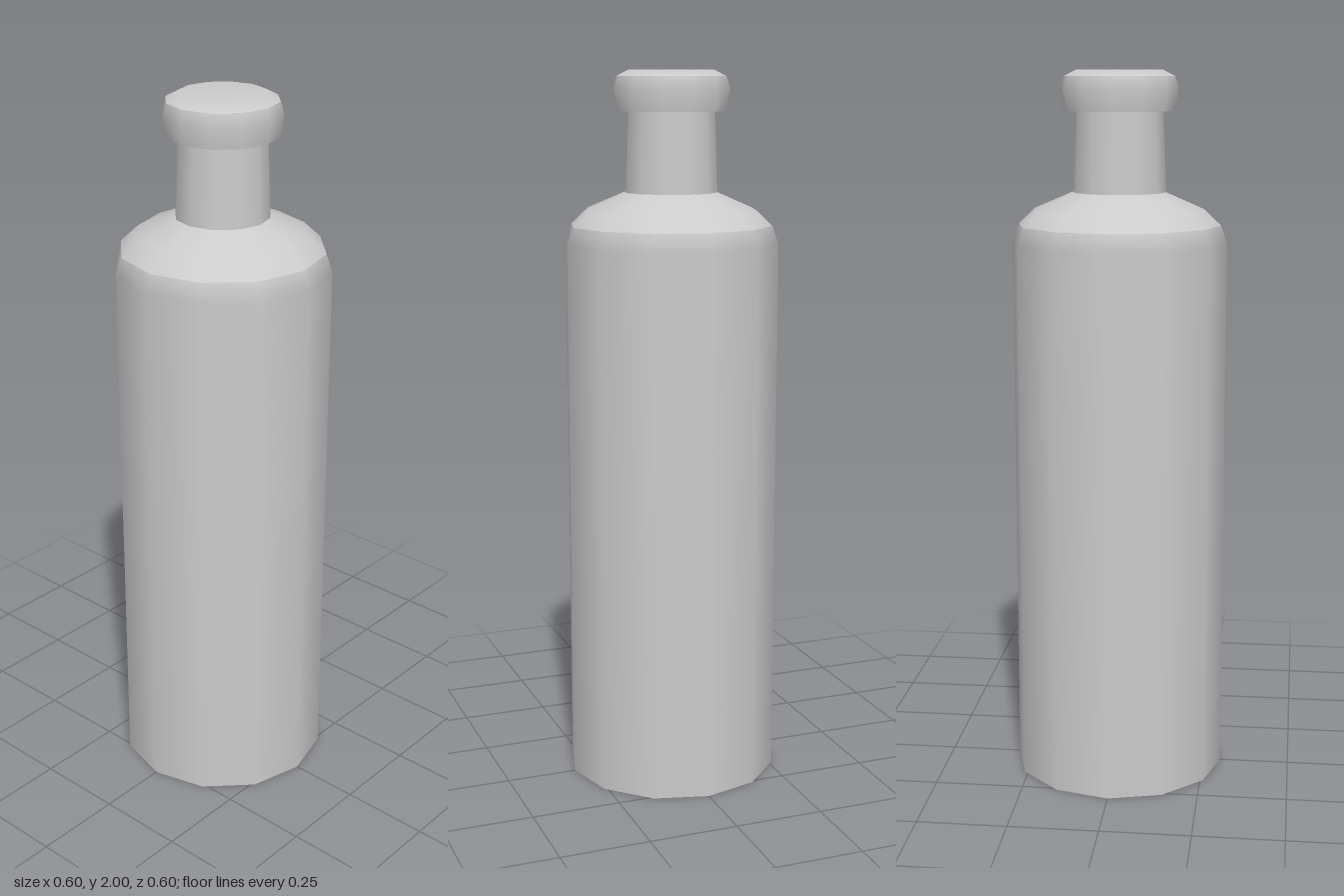
import * as THREE from 'three';

const SIDES = 12;
const material = new THREE.MeshStandardMaterial({ color: 0xcccccc });

// Smooth surface of revolution; separate sections keep hard edges between them.
function section(name, profile) {
  const points = profile.map(([r, y]) => new THREE.Vector2(r, y));
  const mesh = new THREE.Mesh(new THREE.LatheGeometry(points, SIDES), material);
  mesh.name = name;
  return mesh;
}

export function createModel() {
  const bottle = new THREE.Group();
  bottle.name = 'bottle';
  bottle.add(
    // Body, from the flat base up to the rounded shoulder
    section('base', [[0, 0], [0.3, 0]]),
    section('body', [[0.3, 0], [0.3, 1.53], [0.283, 1.58]]),
    section('shoulder', [[0.283, 1.58], [0.235, 1.625], [0.13, 1.67]]),
    // Slightly tapered neck
    section('neck', [[0.13, 1.67], [0.122, 1.89]]),
    // Overhanging cap with a bevelled rim
    section('capUnderside', [[0.122, 1.89], [0.153, 1.89]]),
    section('capSide', [[0.153, 1.89], [0.163, 1.95], [0.153, 1.983]]),
    section('capTop', [[0.153, 1.983], [0.12, 2], [0, 2]]),
  );
  return bottle;
}
